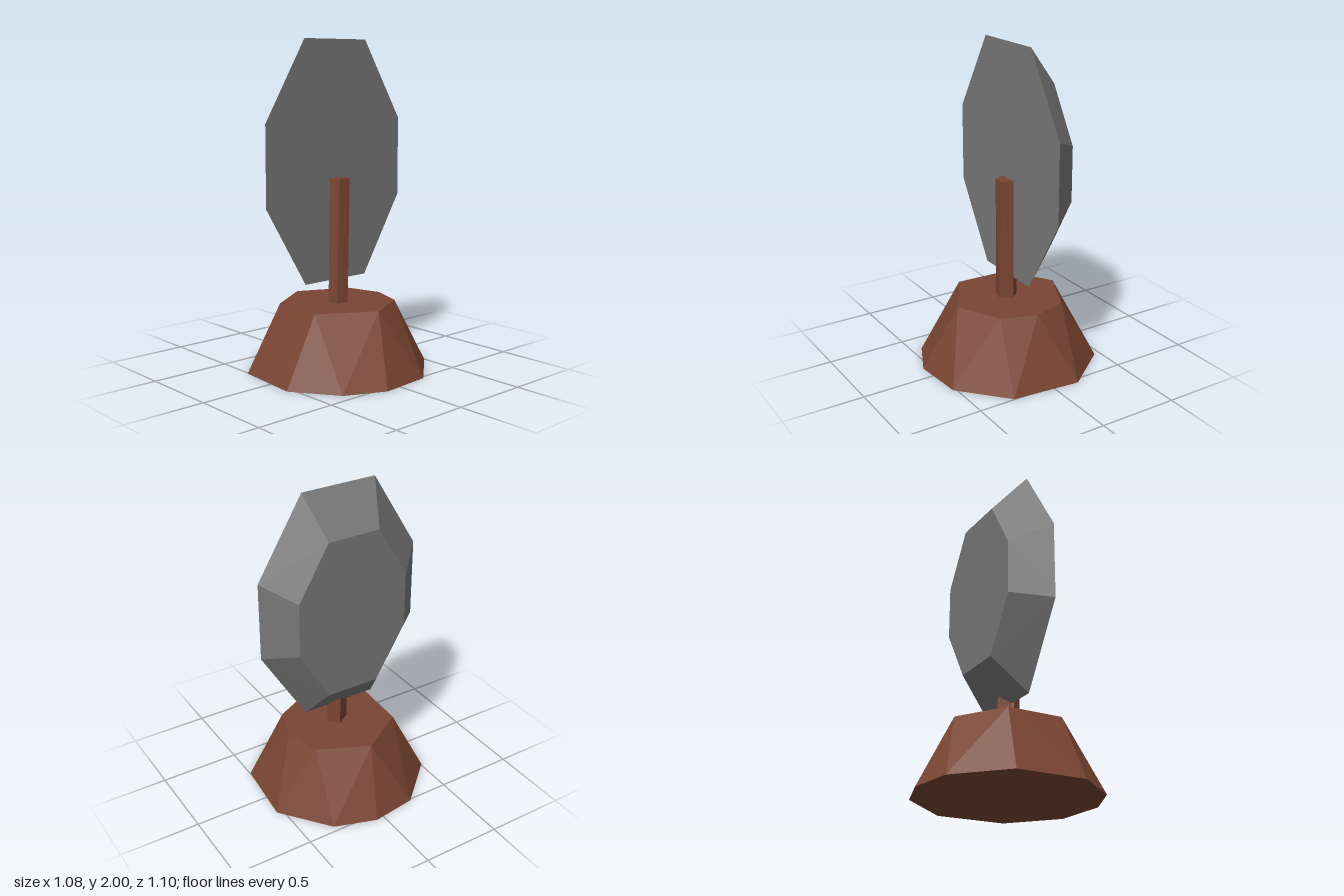
import * as THREE from 'three';
import { ConvexGeometry } from 'three/addons/geometries/ConvexGeometry.js';

const brown = new THREE.MeshStandardMaterial({ color: 0x7a4533 });
brown.name = 'brown wood';
const grey = new THREE.MeshStandardMaterial({ color: 0x777777 });
grey.name = 'grey metal';

// Faceted solid spanning two horizontal outlines of [x, z] corners
function frustum(name, bottom, y0, top, y1, material) {
  const points = [
    ...bottom.map(([x, z]) => new THREE.Vector3(x, y0, z)),
    ...top.map(([x, z]) => new THREE.Vector3(x, y1, z)),
  ];
  const mesh = new THREE.Mesh(new ConvexGeometry(points), material);
  mesh.name = name;
  return mesh;
}

// Upright octagon: half widths and half heights of its long and short sides
function octagon(cx, cy, z, w, wIn, h, hIn) {
  return [[wIn, h], [w, hIn], [w, -hIn], [wIn, -h], [-wIn, -h], [-w, -hIn], [-w, hIn], [-wIn, h]]
    .map(([x, y]) => new THREE.Vector3(cx + x, cy + y, z));
}

export function createModel() {
  const model = new THREE.Group();
  model.name = 'dishOnStand';

  // Irregular mound: ten corners on the ground, seven on top
  model.add(frustum('base',
    [[0.053, -0.55], [0.31, -0.462], [0.54, -0.162], [0.497, 0.268], [0.216, 0.52],
      [-0.11, 0.548], [-0.353, 0.433], [-0.54, 0.165], [-0.508, -0.25], [-0.228, -0.51]], 0,
    [[-0.023, -0.36], [0.283, -0.213], [0.346, 0.005], [0.27, 0.222], [0, 0.358],
      [-0.326, 0.161], [-0.31, -0.18]], 0.415, brown));

  // Slightly twisted five-sided post
  model.add(frustum('post',
    [[-0.05, 0.052], [0.018, 0.07], [0.068, 0], [0.012, -0.06], [-0.076, 0]], 0.41,
    [[-0.04, 0.058], [0.035, 0.068], [0.065, 0], [0, -0.06], [-0.063, 0]], 1.175, brown));

  // Octagonal dish, wide in front and bevelled to a smaller back
  const dish = new THREE.Mesh(new ConvexGeometry([
    ...octagon(-0.01, 1.275, -0.008, 0.532, 0.241, 0.725, 0.243),
    ...octagon(0.012, 1.268, -0.205, 0.361, 0.167, 0.497, 0.168),
  ]), grey);
  dish.name = 'dish';
  model.add(dish);

  return model;
}
